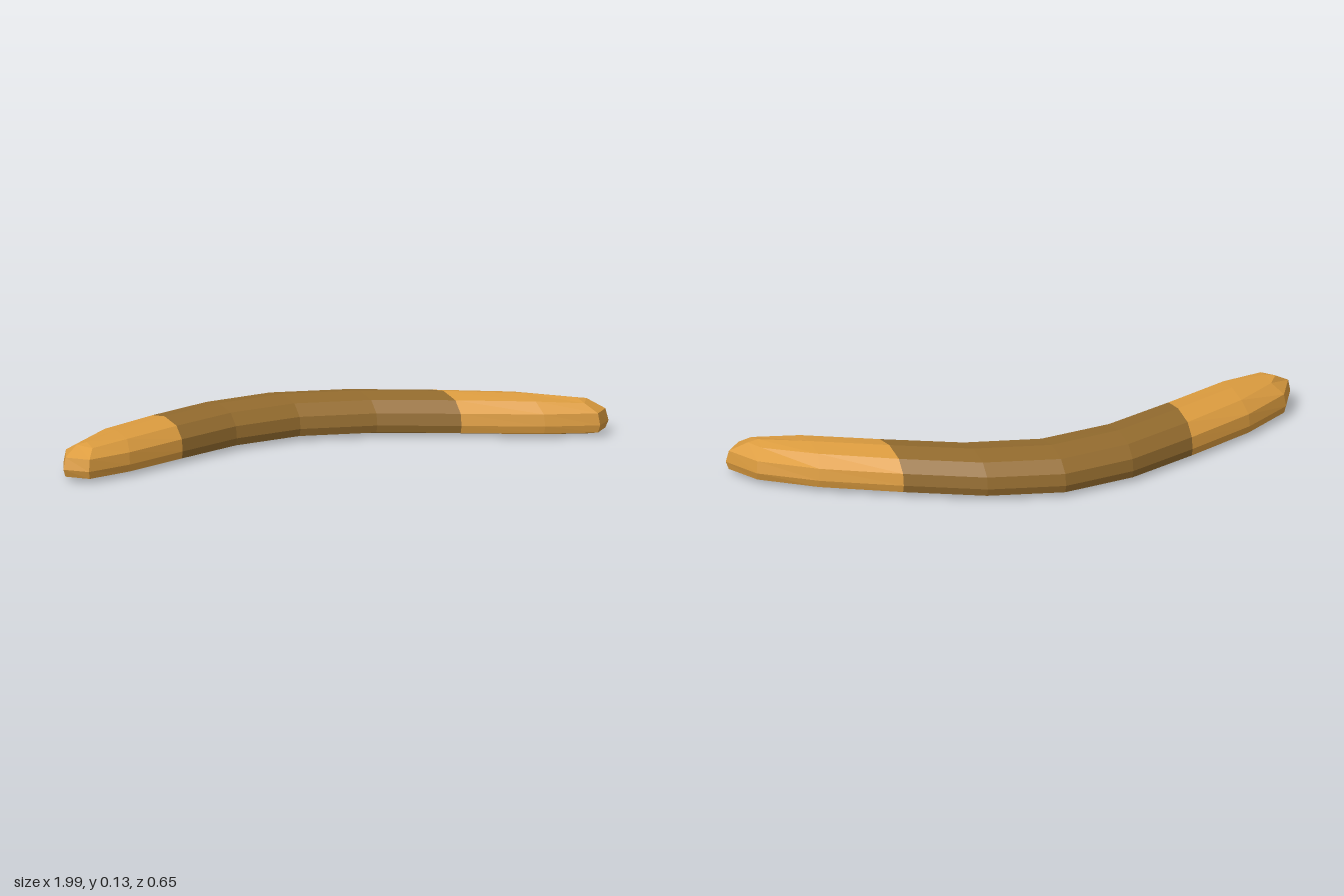
import * as THREE from 'three';

// Outline stations from the elbow to a tip: x, back z, front z, upper bevel y, ridge y, underside y
const STATIONS = [
  [0, -0.328, -0.03, 0.118, 0.132, 0],
  [0.257, -0.273, 0.023, 0.118, 0.132, 0],
  [0.51, -0.148, 0.145, 0.118, 0.132, 0.001],
  [0.76, -0.012, 0.27, 0.117, 0.129, 0.003],
  [0.935, 0.122, 0.327, 0.109, 0.12, 0.005],
  [0.997, 0.257, 0.257, 0.114, 0.115, 0.007],
];

// Edge layers from the underside up: height and inset from the outline
const LAYERS = [[0.006, 0.05], [0.015, 0.007], [0.04, 0], [0.08, 0.007], [null, 0.05]];

// Closed cross-section: up the back edge, over the ridge, down the front edge
function section(index) {
  const side = Math.sign(index);
  const n = Math.abs(index);
  const [x, back, front, bevelY, ridgeY, baseY] = STATIONS[n];
  const pull = [0, 0, 0, 0.25, 0.7, 1.3][n]; // rounds the end inwards along x
  const isTip = n === 5;
  const edge = (z, dir) => LAYERS.map(([y, inset]) => new THREE.Vector3(
    side * (x - inset * pull),
    y ?? bevelY,
    z + (isTip ? -inset * 0.7 : dir * inset),
  ));
  const centre = (y) => new THREE.Vector3(
    side * (x - 0.055 * pull), y, isTip ? z0(back) : (back + front) / 2);
  const z0 = (z) => z - 0.036;
  return [...edge(back, 1), centre(ridgeY), ...edge(front, -1).reverse(), centre(baseY)];
}

// Faceted skin between two stations (inclusive)
function loft(from, to) {
  const rings = [];
  for (let i = from; i <= to; i++) rings.push(section(i));
  const points = [];
  const triangle = (a, b, c) => {
    if (new THREE.Triangle(a, b, c).getArea() > 1e-7) points.push(a, b, c);
  };
  for (let i = 0; i < rings.length - 1; i++) {
    const count = rings[i].length;
    for (let j = 0; j < count; j++) {
      const k = (j + 1) % count;
      const a = rings[i][j], b = rings[i + 1][j];
      const c = rings[i + 1][k], d = rings[i][k];
      triangle(a, d, c);
      triangle(a, c, b);
    }
  }
  const geometry = new THREE.BufferGeometry().setFromPoints(points);
  geometry.computeVertexNormals();
  return geometry;
}

export function createModel() {
  const group = new THREE.Group();
  group.name = 'boomerang';
  const darkWood = new THREE.MeshStandardMaterial({ color: 0x936b2e, flatShading: true });
  const lightWood = new THREE.MeshStandardMaterial({ color: 0xdc9c3f, flatShading: true });

  // Dark elbow between two pale wing tips
  const parts = [
    ['rightTip', -5, -2, lightWood],
    ['elbow', -2, 2, darkWood],
    ['leftTip', 2, 5, lightWood],
  ];
  for (const [name, from, to, material] of parts) {
    const mesh = new THREE.Mesh(loft(from, to), material);
    mesh.name = name;
    group.add(mesh);
  }
  return group;
}
